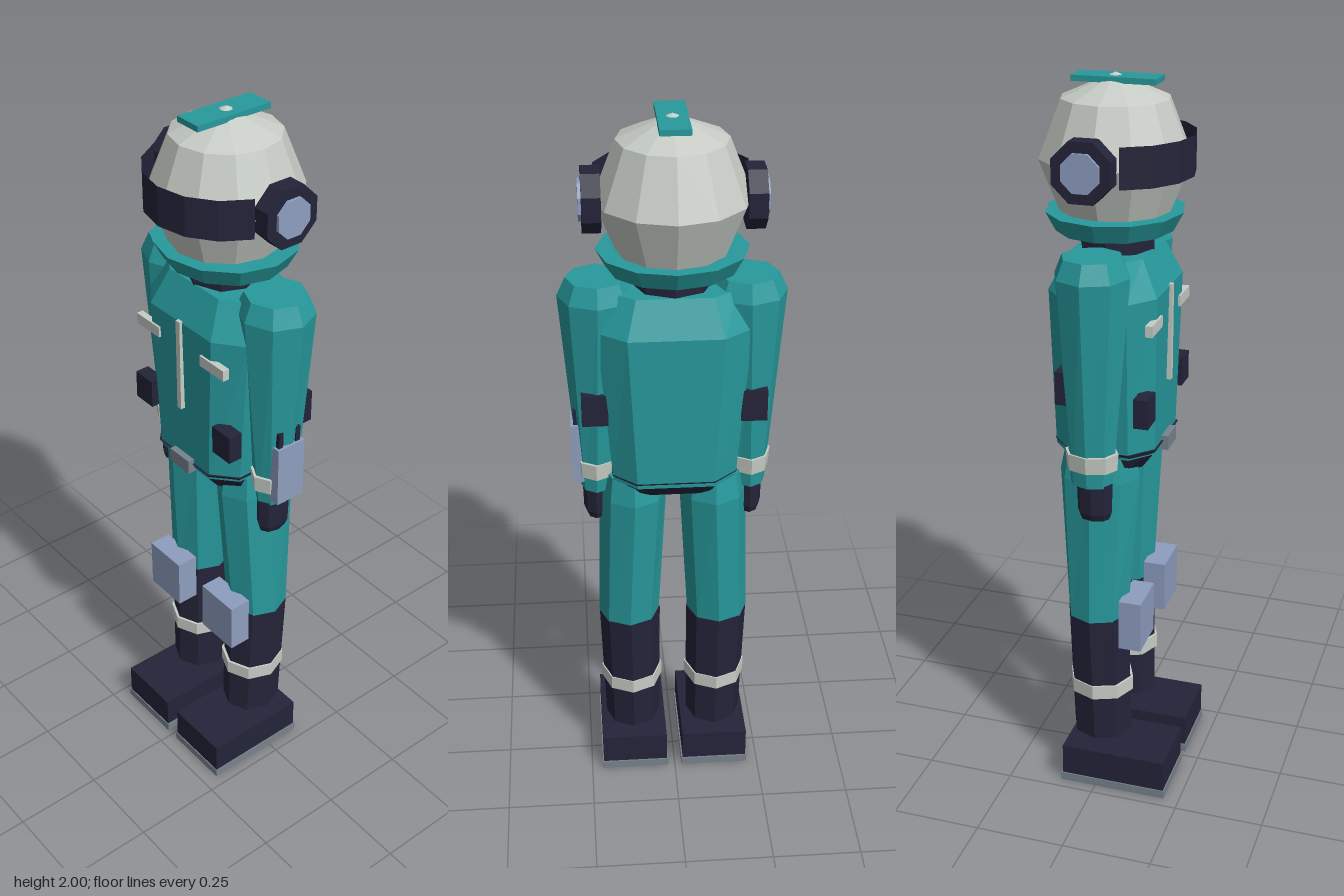
import * as THREE from 'three';

const mat = (name, color, double) => {
  const m = new THREE.MeshStandardMaterial({ color, flatShading: true });
  m.name = name;
  if (double) m.side = THREE.DoubleSide;
  return m;
};

// Unit cross-sections, anticlockwise seen from above
const ring = (n) => Array.from({ length: n }, (_, i) => {
  const a = (i / n) * Math.PI * 2;
  return [Math.sin(a), Math.cos(a)];
});
const OCT = ring(8);
const CHEST = [[-0.62, 1], [0.62, 1], [1, 0.6], [1, -0.6], [0.62, -1], [-0.62, -1], [-1, -0.6], [-1, 0.6]];

// Closed solid through sections [y, cx, cz, rx, rz], listed from bottom to top
function loft(sections, profile = OCT) {
  const n = profile.length, pos = [], idx = [];
  for (const [y, cx, cz, rx, rz] of sections)
    for (const [px, pz] of profile) pos.push(cx + px * rx, y, cz + pz * rz);
  const last = sections.length - 1;
  for (let s = 0; s < last; s++)
    for (let i = 0; i < n; i++) {
      const j = (i + 1) % n, a = s * n + i, b = s * n + j;
      idx.push(a, b, b + n, a, b + n, a + n);
    }
  for (let i = 1; i < n - 1; i++) {
    idx.push(0, i + 1, i);
    idx.push(last * n, last * n + i, last * n + i + 1);
  }
  const g = new THREE.BufferGeometry();
  g.setAttribute('position', new THREE.Float32BufferAttribute(pos, 3));
  g.setIndex(idx);
  const flat = g.toNonIndexed();
  flat.computeVertexNormals();
  return flat;
}

// Box given by its limits on each axis
function block(x0, x1, y0, y1, z0, z1) {
  return new THREE.BoxGeometry(x1 - x0, y1 - y0, z1 - z0)
    .translate((x0 + x1) / 2, (y0 + y1) / 2, (z0 + z1) / 2);
}

export function createModel() {
  const teal = mat('teal suit', 0x27999c);
  const dark = mat('dark navy', 0x24243a, true);
  const pale = mat('pale grey', 0xc6ccc5);
  const blue = mat('blue grey', 0x8e9ebf);
  const sole = mat('sole grey', 0x78838c);

  const model = new THREE.Group();
  model.name = 'suitedFigure';
  const add = (name, geometry, material, parent = model) => {
    const m = new THREE.Mesh(geometry, material);
    m.name = name;
    parent.add(m);
    return m;
  };

  // Helmet with visor band, crest and collar
  add('helmet', new THREE.SphereGeometry(0.2, 12, 4).scale(1, 1.05, 1).translate(0, 1.79, -0.005), pale);
  const span = (140 * Math.PI) / 180;
  add('visor', new THREE.CylinderGeometry(0.208, 0.208, 0.105, 6, 1, true, -span / 2, span)
    .translate(0, 1.803, -0.005), dark);
  add('crest', block(-0.039, 0.039, 1.978, 1.993, -0.111, 0.111), teal);
  add('collar', loft([[1.605, 0, -0.005, 0.17, 0.155], [1.655, 0, -0.005, 0.197, 0.182]], ring(12)), teal);
  add('neck', loft([[1.53, 0, 0, 0.105, 0.1], [1.61, 0, 0, 0.105, 0.1]]), dark);

  // Torso and belt
  add('torso', loft([
    [1.02, 0, -0.002, 0.165, 0.138],
    [1.46, 0, -0.002, 0.2, 0.146],
    [1.555, 0, -0.002, 0.16, 0.1],
  ], CHEST), teal);
  add('belt', loft([[0.975, 0, 0, 0.15, 0.1], [1.035, 0, 0, 0.168, 0.143]], CHEST), dark);
  add('buckle', block(-0.04, 0.04, 1.008, 1.048, 0.13, 0.155), sole);
  add('zip', block(-0.008, 0.008, 1.2, 1.465, 0.135, 0.152), pale);

  // Paired parts, built on the left (+x) and flipped for the right
  for (const s of [1, -1]) {
    const side = new THREE.Group();
    side.name = s > 0 ? 'leftSide' : 'rightSide';
    model.add(side);
    const box = (name, x0, x1, y0, y1, z0, z1, m) =>
      add(name, block(Math.min(s * x0, s * x1), Math.max(s * x0, s * x1), y0, y1, z0, z1), m, side);
    const limb = (name, sections, m) =>
      add(name, loft(sections.map(([y, x, z, rx, rz]) => [y, s * x, z, rx, rz])), m, side);
    const disc = (name, r, x0, x1, m) =>
      add(name, new THREE.CylinderGeometry(r, r, x1 - x0, 8).rotateY(Math.PI / 8)
        .rotateZ(Math.PI / 2).translate(s * (x0 + x1) / 2, 1.793, -0.022), m, side);

    // Earpiece
    disc('earpiece', 0.083, 0.18, 0.228, dark);
    disc('earLens', 0.053, 0.2, 0.236, blue);

    // Chest stripe and waist pouch
    box('chestStripe', 0.085, 0.18, 1.375, 1.405, 0.13, 0.149, pale);
    box('waistPouch', 0.13, 0.2, 1.13, 1.21, 0.105, 0.145, dark);

    // Arm
    limb('arm', [
      [0.965, 0.21, -0.005, 0.044, 0.058],
      [1.53, 0.195, -0.005, 0.103, 0.1],
      [1.58, 0.195, -0.005, 0.08, 0.08],
    ], teal);
    limb('cuff', [[1.01, 0.21, -0.004, 0.053, 0.07], [1.057, 0.21, -0.004, 0.057, 0.073]], pale);
    limb('hand', [
      [0.865, 0.212, 0.004, 0.026, 0.04],
      [0.885, 0.212, 0.004, 0.034, 0.047],
      [0.97, 0.212, 0.004, 0.036, 0.05],
    ], dark);
    box('elbowPatch', 0.175, 0.245, 1.19, 1.28, -0.092, -0.06, dark);

    // Leg
    limb('thigh', [
      [0.535, 0.127, -0.015, 0.086, 0.086],
      [0.95, 0.11, -0.015, 0.092, 0.112],
      [1.02, 0.11, -0.012, 0.082, 0.1],
    ], teal);
    limb('shin', [[0.15, 0.12, -0.005, 0.08, 0.085], [0.537, 0.125, -0.015, 0.087, 0.088]], dark);
    limb('shinBand', [[0.287, 0.122, -0.007, 0.088, 0.092], [0.328, 0.122, -0.007, 0.088, 0.092]], pale);
    box('kneePad', 0.055, 0.187, 0.455, 0.602, 0.062, 0.125, blue);

    // Boot
    box('boot', 0.024, 0.215, 0.02, 0.115, -0.098, 0.203, dark);
    box('sole', 0.02, 0.218, 0, 0.024, -0.102, 0.206, sole);
  }

  // Forearm device with two aerials, on the left arm only
  add('forearmDevice', block(0.243, 0.275, 0.99, 1.165, -0.045, 0.043), blue);
  for (const z of [0.029, -0.028])
    add('deviceAerial', block(0.248, 0.268, 1.16, 1.21, z - 0.007, z + 0.007), dark);

  return model;
}
